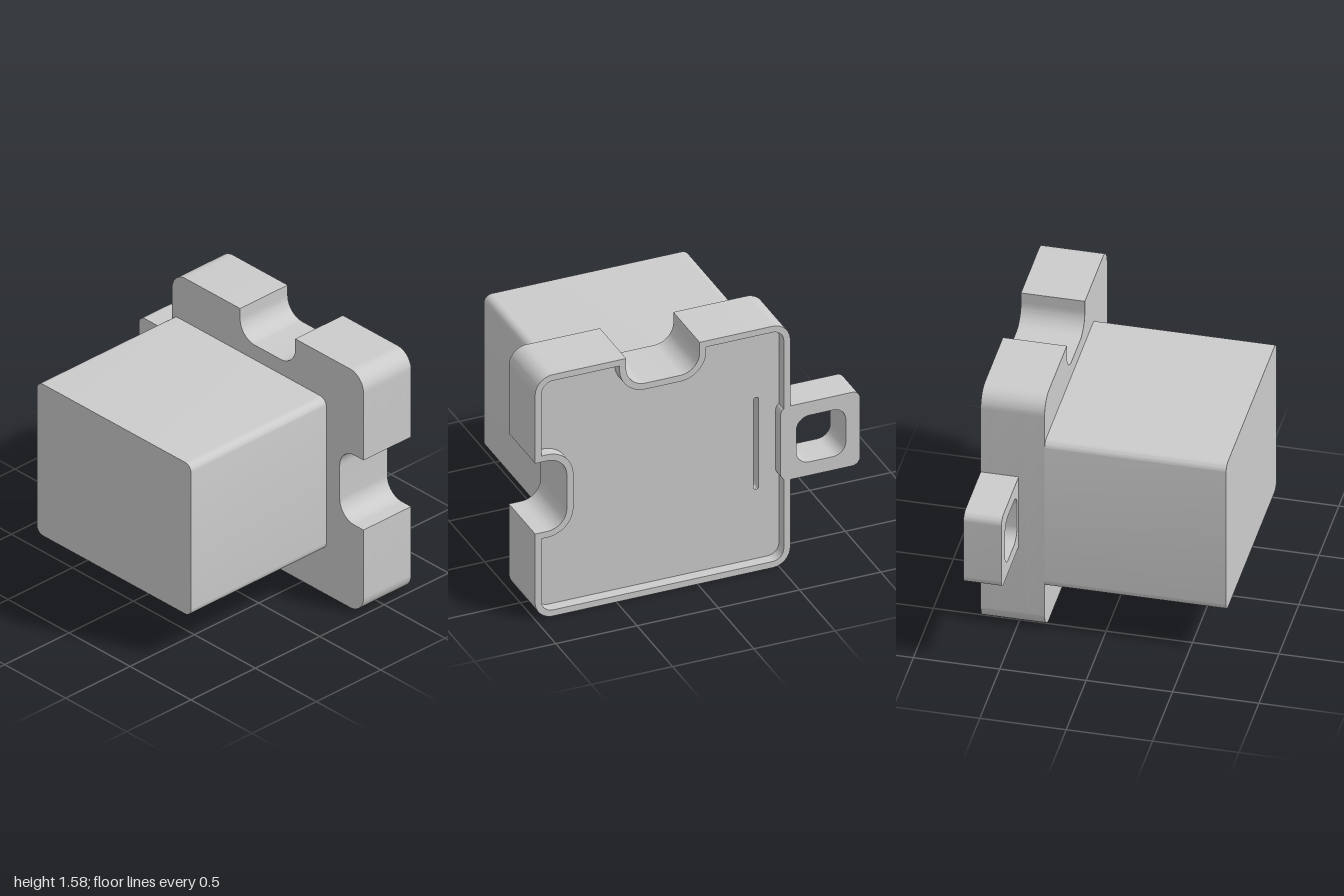
import * as THREE from 'three';
import { toCreasedNormals } from 'three/addons/utils/BufferGeometryUtils.js';

const material = new THREE.MeshStandardMaterial({ color: 0xcccccc });
const PI = Math.PI;

// Rounded rectangle, counter-clockwise
function roundRect(x0, x1, y0, y1, r, path = new THREE.Shape()) {
  path.absarc(x1 - r, y0 + r, r, -PI / 2, 0);
  path.absarc(x1 - r, y1 - r, r, 0, PI / 2);
  path.absarc(x0 + r, y1 - r, r, PI / 2, PI);
  path.absarc(x0 + r, y0 + r, r, PI, PI * 1.5);
  path.closePath();
  return path;
}

// Plate outline with a notch in the right and top edges, inset by d
function plateOutline(d, path = new THREE.Shape()) {
  const x0 = -0.57 + d, x1 = 1 - d, y0 = d, y1 = 1.575 - d;
  const r = 0.11 - d, n = 0.12 + d;
  path.absarc(x1 - r, y0 + r, r, -PI / 2, 0);
  // side notch
  const sx = 0.805 - d, s0 = 0.56 - d, s1 = 1.02 + d;
  path.lineTo(x1, s0);
  path.absarc(sx + n, s0 + n, n, -PI / 2, -PI, true);
  path.absarc(sx + n, s1 - n, n, PI, PI / 2, true);
  path.lineTo(x1, s1);
  path.absarc(x1 - r, y1 - r, r, 0, PI / 2);
  // top notch
  const ty = 1.387 - d, t0 = -0.012 - d, t1 = 0.44 + d;
  path.lineTo(t1, y1);
  path.absarc(t1 - n, ty + n, n, 0, -PI / 2, true);
  path.absarc(t0 + n, ty + n, n, -PI / 2, -PI, true);
  path.lineTo(t0, y1);
  path.absarc(x0 + r, y1 - r, r, PI / 2, PI);
  path.absarc(x0 + r, y0 + r, r, PI, PI * 1.5);
  path.closePath();
  return path;
}

function slab(name, shape, z0, z1) {
  const geo = new THREE.ExtrudeGeometry(shape, { depth: z1 - z0, bevelEnabled: false, curveSegments: 12 });
  geo.translate(0, 0, z0);
  const mesh = new THREE.Mesh(toCreasedNormals(geo, 0.6), material);
  mesh.name = name;
  return mesh;
}

export function createModel() {
  const model = new THREE.Group();
  model.name = 'notchedHousing';

  // Main block in front of the plate
  model.add(slab('block', roundRect(-0.57, 0.695, 0.29, 1.29, 0.05), -0.34, 0.71));

  // Plate: solid front, slotted floor, raised rim around the back
  const plate = new THREE.Group();
  plate.name = 'plate';
  const floor = plateOutline(0);
  floor.holes.push(roundRect(-0.405, -0.375, 0.49, 1.09, 0.014, new THREE.Path()));
  const rim = plateOutline(0);
  rim.holes.push(plateOutline(0.04, new THREE.Path()));
  plate.add(
    slab('plateFront', plateOutline(0), -0.45, -0.34),
    slab('slottedFloor', floor, -0.64, -0.45),
    slab('backRim', rim, -0.71, -0.64),
  );
  model.add(plate);

  // Side loop, its root reaching just through the rim
  const loop = roundRect(-1, -0.51, 0.55, 1.03, 0.05);
  loop.holes.push(roundRect(-0.912, -0.608, 0.638, 0.942, 0.08, new THREE.Path()));
  model.add(slab('sideLoop', loop, -0.71, -0.49));

  return model;
}
